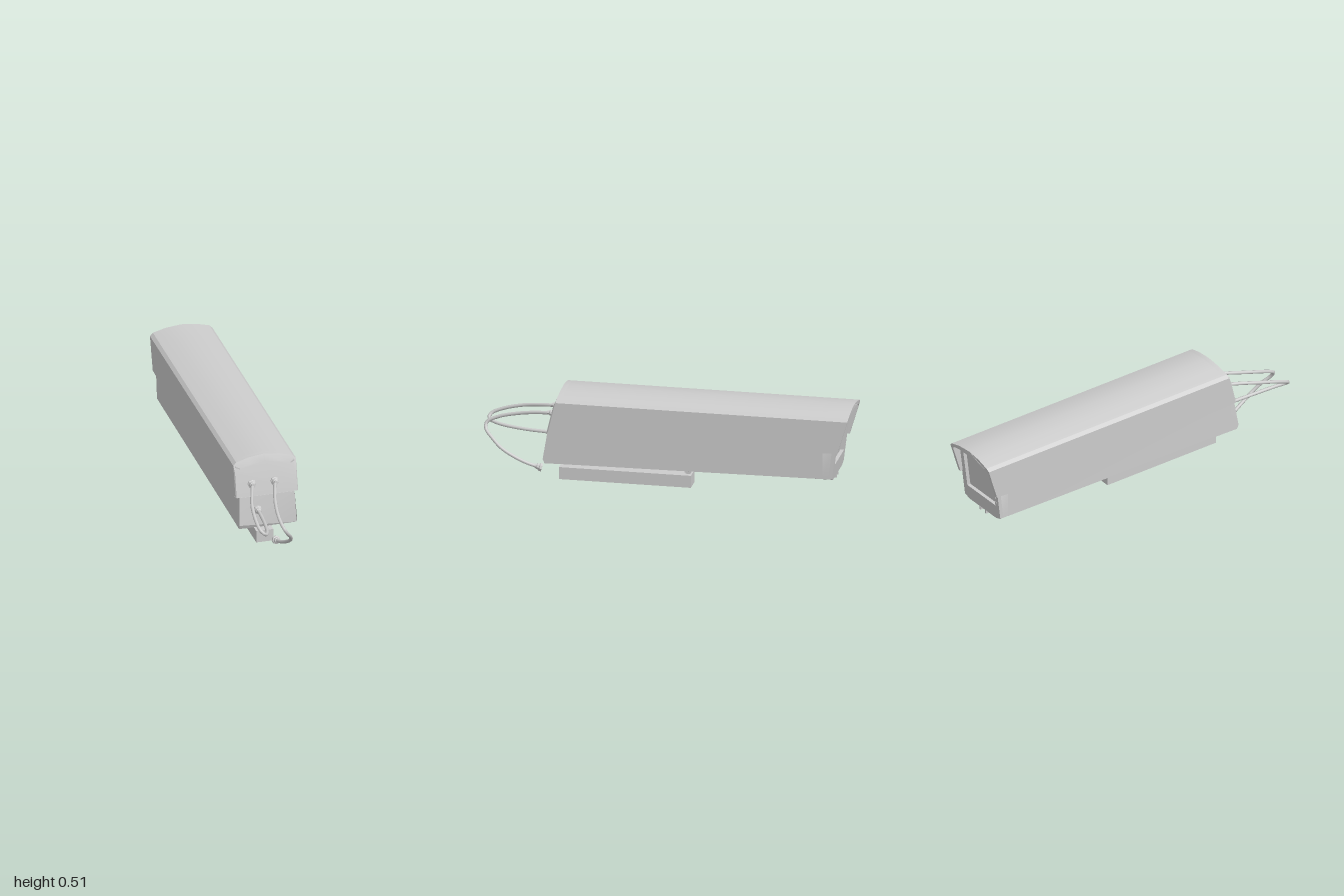
import * as THREE from 'three';
import { toCreasedNormals } from 'three/addons/utils/BufferGeometryUtils.js';

const material = new THREE.MeshStandardMaterial({ color: 0xcccccc, side: THREE.DoubleSide });

function add(parent, name, geometry, x = 0, y = 0, z = 0) {
  const mesh = new THREE.Mesh(geometry, material);
  mesh.name = name;
  mesh.position.set(x, y, z);
  parent.add(mesh);
  return mesh;
}

const box = (w, h, d) => new THREE.BoxGeometry(w, h, d);

// Skins counter-clockwise loops of [x, y, z], ordered front to back, and caps both ends.
function loft(sections, crease = 0.3) {
  const pos = [];
  const n = sections[0].length;
  const tri = (...pts) => pts.forEach((p) => pos.push(...p));
  for (let s = 0; s < sections.length - 1; s++) {
    const a = sections[s], b = sections[s + 1];
    for (let i = 0; i < n; i++) {
      const j = (i + 1) % n;
      tri(a[i], b[i], b[j]);
      tri(a[i], b[j], a[j]);
    }
  }
  const cap = (loop, flip) => {
    const flat = loop.map((p) => new THREE.Vector2(p[0], p[1]));
    for (const [i, j, k] of THREE.ShapeUtils.triangulateShape(flat, [])) {
      flip ? tri(loop[i], loop[k], loop[j]) : tri(loop[i], loop[j], loop[k]);
    }
  };
  cap(sections[0], false);
  cap(sections[sections.length - 1], true);
  const g = new THREE.BufferGeometry();
  g.setAttribute('position', new THREE.Float32BufferAttribute(pos, 3));
  return toCreasedNormals(g, crease);
}

// Mirrors a right-hand half profile (bottom to centre top) into a full arch.
const mirrorArch = (half) => [...half, ...half.slice(0, -1).reverse().map(([x, y]) => [-x, y])];

const outerArch = (b) => mirrorArch([[0.172, b], [0.172, 0.468], [0.155, 0.484], [0.085, 0.503], [0, 0.512]]);
const innerArch = (b) => mirrorArch([[0.154, b], [0.154, 0.455], [0.138, 0.468], [0.075, 0.484], [0, 0.492]]);

// Slanted end planes
const coverFront = (y) => 0.618 - (y - 0.3) * 0.24;
const coverBack = (y) => Math.max(-1, -0.943 - (y - 0.29) * 0.3);
const faceBack = (y) => -0.91 - (y - 0.13) * 0.125;

function buildCover(group) {
  // Arched shell whose lower edge steps down near the overhanging hood
  const ring = (b, zAt) => [...outerArch(b), ...innerArch(b).reverse()].map(([x, y]) => [x, y, zAt(y)]);
  add(group, 'coverShell', loft([
    ring(0.295, (y) => coverFront(y) - 0.03),
    ring(0.302, () => -0.82),
    ring(0.287, () => -0.865),
    ring(0.291, coverBack),
  ]));

  // Closing plate with a bevelled upper rim
  const rim = outerArch(0.299);
  add(group, 'coverEndPlate', loft([
    rim.map(([x, y]) => {
      const fy = y > 0.4 ? y - 0.036 : y;
      return [x * 0.97, fy, coverFront(fy) + 0.004];
    }),
    rim.map(([x, y]) => [x, y, coverFront(y) - 0.003]),
    rim.map(([x, y]) => [x, y, coverFront(y) - 0.03]),
  ]));

  // Small corner notches at the rim
  for (const s of [-1, 1]) {
    const notch = add(group, 'cornerNotch', box(0.024, 0.006, 0.012), s * 0.15, 0.457, 0.581);
    notch.rotation.z = s * 0.5;
  }
}

function buildBody(group) {
  // Lower tray, slightly narrower at its upper front edge
  const tray = (top, corner, bottom, zAt) => [
    [top, 0.297], [-top, 0.297], [-0.158, 0.145], [-0.158, corner],
    [-0.12, bottom], [0.12, bottom], [0.158, corner], [0.158, 0.145],
  ].map(([x, y]) => [x, y, zAt(y)]);
  add(group, 'lowerTray', loft([
    tray(0.151, 0.122, 0.121, (y) => (y < 0.14 ? 0.635 : 0.645 - (y - 0.145) * 0.16)),
    tray(0.158, 0.124, 0.121, () => 0.56),
    tray(0.158, 0.138, 0.124, () => -0.86),
  ]));

  // Full-height end of the body beneath the hood, with a recessed window
  const outline = [
    [0.12, 0.124], [0.158, 0.139], [0.158, 0.29], [0.152, 0.31], [0.152, 0.455], [0.075, 0.484], [0, 0.49],
  ];
  const face = mirrorArch(outline);
  add(group, 'bodyEnd', loft([
    face.map(([x, y]) => [x, y, -0.86]),
    face.map(([x, y]) => [x, y, faceBack(y) + 0.02]),
  ]));
  const shape = new THREE.Shape(face.map(([x, y]) => new THREE.Vector2(x, y)));
  shape.holes.push(new THREE.Path(
    [[-0.125, 0.21], [-0.125, 0.425], [0.125, 0.425], [0.125, 0.21]].map(([x, y]) => new THREE.Vector2(x, y))));
  const bezel = new THREE.ExtrudeGeometry(shape, { depth: 0.02, bevelEnabled: false });
  const p = bezel.attributes.position;
  for (let i = 0; i < p.count; i++) p.setZ(i, p.getZ(i) + faceBack(p.getY(i)));
  bezel.computeVertexNormals();
  add(group, 'windowBezel', bezel);

  // Hinge pins beside the window
  for (const y of [0.235, 0.265]) add(group, 'hingePin', box(0.008, 0.01, 0.006), -0.136, y, faceBack(y));
}

function buildMount(group) {
  // Channel along the underside
  for (const s of [-1, 1]) add(group, 'mountRail', box(0.009, 0.018, 1.52), s * 0.025, 0.114, -0.15);
  add(group, 'railWeb', box(0.045, 0.006, 1.5), 0, 0.119, -0.15);

  // Pivot bracket and arm
  add(group, 'bracketPlate', box(0.052, 0.008, 0.11), 0, 0.104, -0.09);
  for (const s of [-1, 1]) add(group, 'bracketCheek', box(0.007, 0.03, 0.034), s * 0.021, 0.09, -0.108);
  add(group, 'bracketPost', box(0.036, 0.042, 0.026), 0, 0.084, -0.108);
  const bolt = add(group, 'pivotBolt', new THREE.CylinderGeometry(0.009, 0.009, 0.054, 8), 0, 0.088, -0.108);
  bolt.rotation.z = Math.PI / 2;
  add(group, 'mountArm', box(0.094, 0.067, 0.71), 0, 0.0335, 0.225);
}

// Faceted cable gland: flange, nut and tapered neck along +z
function buildGland(group, x, y, z, tiltX = 0, tiltY = 0) {
  const profile = [[0, 0], [0.023, 0], [0.023, 0.012], [0.017, 0.016], [0.017, 0.027], [0.012, 0.031], [0.011, 0.042], [0, 0.042]];
  const g = new THREE.LatheGeometry(profile.map(([r, h]) => new THREE.Vector2(r, h)), 8);
  g.rotateX(Math.PI / 2);
  const gland = add(group, 'cableGland', toCreasedNormals(g.toNonIndexed(), 0.3), x, y, z);
  gland.rotation.set(tiltX, tiltY, 0);
}

function buildCables(group) {
  buildGland(group, -0.08, 0.365, 0.6, -0.1);
  buildGland(group, 0.045, 0.365, 0.6, -0.1);
  buildGland(group, -0.055, 0.223, 0.628);
  buildGland(group, 0.031, 0.052, 0.675, -0.3, 0.15);

  const cable = (name, pts) => {
    const curve = new THREE.CatmullRomCurve3(pts.map((q) => new THREE.Vector3(...q)));
    add(group, name, new THREE.TubeGeometry(curve, 40, 0.0095, 8));
  };
  cable('loopCable', [
    [-0.08, 0.365, 0.62], [-0.105, 0.355, 0.7], [-0.136, 0.335, 0.81], [-0.147, 0.305, 0.92],
    [-0.14, 0.278, 0.98], [-0.118, 0.257, 0.99], [-0.092, 0.242, 0.94], [-0.067, 0.228, 0.8], [-0.055, 0.223, 0.65],
  ]);
  cable('hangingCable', [
    [0.045, 0.365, 0.62], [0.02, 0.355, 0.7], [-0.008, 0.333, 0.81], [-0.02, 0.303, 0.92], [-0.012, 0.272, 0.98],
    [0.008, 0.24, 0.98], [0.035, 0.2, 0.94], [0.052, 0.155, 0.89], [0.05, 0.11, 0.82], [0.04, 0.075, 0.75], [0.033, 0.058, 0.7],
  ]);
}

export function createModel() {
  const model = new THREE.Group();
  model.name = 'cameraHousing';
  const parts = { cover: buildCover, body: buildBody, mount: buildMount, cables: buildCables };
  for (const [name, build] of Object.entries(parts)) {
    const group = new THREE.Group();
    group.name = name;
    build(group);
    model.add(group);
  }
  return model;
}
